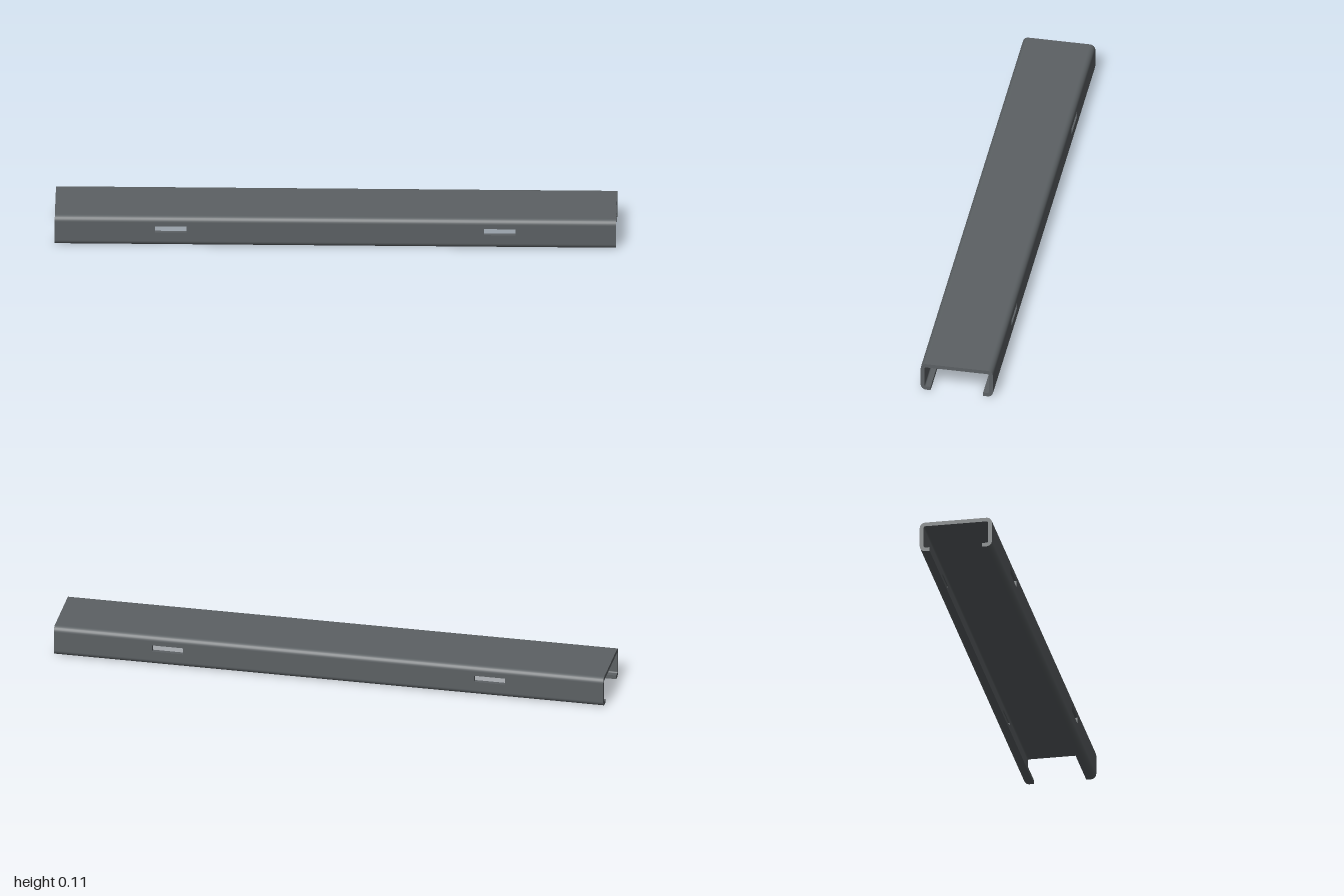
import * as THREE from 'three';

const OUTER = 0.02, INNER = 0.0055;          // bend radii, difference = sheet thickness
const HALF_Z = 0.131, HEIGHT = 0.1125, LIP_Z = 0.095;
const SLOT_Y = [0.053, 0.077];
const XS = [-1, -0.642, -0.53, 0.53, 0.642, 1];
const SLOT_COLUMNS = [1, 3];
const BEND_STEPS = 6;

// Half of the cross-section: lip, lower bend, slotted wall, upper bend.
// Each station is a bend centre (z, y) and the outward normal's angle.
function halfProfile() {
  const z = HALF_Z - OUTER, half = [{ z: LIP_Z, y: OUTER, a: -Math.PI / 2 }];
  const bend = (y, from) => {
    for (let i = 0; i <= BEND_STEPS; i++) half.push({ z, y, a: from + (i / BEND_STEPS) * Math.PI / 2 });
  };
  bend(OUTER, -Math.PI / 2);
  half.push({ z, y: SLOT_Y[0], a: 0, slot: 'start' }, { z, y: SLOT_Y[1], a: 0, slot: 'end' });
  bend(HEIGHT - OUTER, 0);
  return half;
}

// Folded sheet: outer and inner skins with open slots, closed by rims on every free edge
function channelGeometry() {
  const half = halfProfile();
  const mirrored = half.slice().reverse().map((s) => ({ z: -s.z, y: s.y, a: Math.PI - s.a, slot: s.slot }));
  const path = [...half, ...mirrored];
  const positions = [], normals = [];

  const normalAt = (i) => new THREE.Vector3(0, Math.sin(path[i].a), Math.cos(path[i].a));
  const point = (col, i, radius) =>
    new THREE.Vector3(XS[col], path[i].y, path[i].z).addScaledVector(normalAt(i), radius);
  const quad = (p, n) => [0, 1, 2, 0, 2, 3].forEach((k) => {
    positions.push(...p[k].toArray());
    normals.push(...n[k].toArray());
  });
  const solid = (col, i) => {
    if (col < 0 || col >= XS.length - 1 || i < 0 || i >= path.length - 1) return false;
    return !(SLOT_COLUMNS.includes(col) && path[i].slot && path[i + 1].slot);
  };

  for (let c = 0; c < XS.length - 1; c++) {
    for (let i = 0; i < path.length - 1; i++) {
      if (!solid(c, i)) continue;
      const corners = [[c, i], [c + 1, i], [c + 1, i + 1], [c, i + 1]];
      const n = corners.map(([, k]) => normalAt(k));
      quad(corners.map(([x, k]) => point(x, k, OUTER)), n);
      quad(corners.map(([x, k]) => point(x, k, INNER)).reverse(), n.map((v) => v.clone().negate()).reverse());

      // Rims along end cuts, lip edges and slots
      const neighbours = [[c, i - 1], [c + 1, i], [c, i + 1], [c - 1, i]];
      neighbours.forEach(([nc, ni], e) => {
        if (solid(nc, ni)) return;
        const a = corners[e], b = corners[(e + 1) % 4];
        const p = [point(...b, OUTER), point(...a, OUTER), point(...a, INNER), point(...b, INNER)];
        const flat = p[1].clone().sub(p[0]).cross(p[2].clone().sub(p[0])).normalize();
        quad(p, [flat, flat, flat, flat]);
      });
    }
  }
  const geometry = new THREE.BufferGeometry();
  geometry.setAttribute('position', new THREE.Float32BufferAttribute(positions, 3));
  geometry.setAttribute('normal', new THREE.Float32BufferAttribute(normals, 3));
  return geometry;
}

export function createModel() {
  const steel = new THREE.MeshStandardMaterial({ color: 0x5c6164 });
  steel.name = 'dark grey steel';
  const group = new THREE.Group();
  group.name = 'slottedChannel';
  const channel = new THREE.Mesh(channelGeometry(), steel);
  channel.name = 'foldedChannel';
  group.add(channel);
  return group;
}
